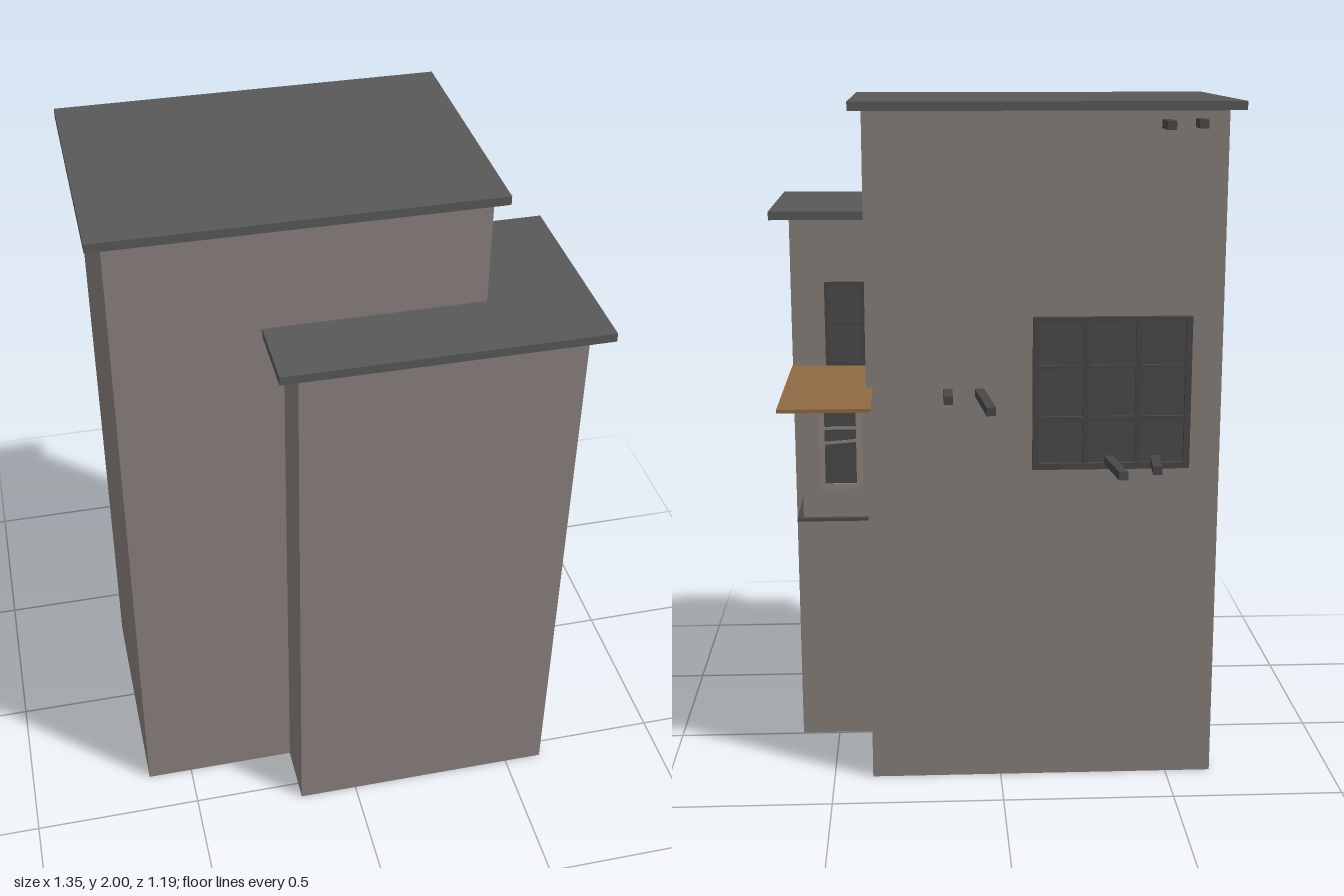
import * as THREE from 'three';

const mat = (color) => new THREE.MeshStandardMaterial({ color, flatShading: true });

export function createModel() {
  const model = new THREE.Group();
  const wall = mat(0x8a817e), slate = mat(0x595959), wood = mat(0x8f6b43);
  const iron = mat(0x484848), glass = mat(0x4b4b4b), trim = mat(0x8f8680);

  // box given by its limits on each axis
  function block(name, m, x0, x1, y0, y1, z0, z1, parent = model) {
    const mesh = new THREE.Mesh(new THREE.BoxGeometry(x1 - x0, y1 - y0, z1 - z0), m);
    mesh.position.set((x0 + x1) / 2, (y0 + y1) / 2, (z0 + z1) / 2);
    mesh.name = name;
    parent.add(mesh);
    return mesh;
  }

  // window centred on its own origin, facing +z, with a pane and a border
  function makeWindow(name, w, h, border, depth, frame) {
    const g = new THREE.Group();
    g.name = name;
    model.add(g);
    block('pane', glass, -w / 2 + border, w / 2 - border, -h / 2 + border, h / 2 - border, -0.002, 0.003, g);
    for (const s of [-1, 1]) {
      const x = s * (w - border) / 2, y = s * (h - border) / 2;
      block('frameSide', frame, x - border / 2, x + border / 2, -h / 2, h / 2, 0, depth, g);
      block('frameRail', frame, -w / 2 + border, w / 2 - border, y - border / 2, y + border / 2, 0, depth, g);
    }
    return g;
  }

  // towers and their overhanging flat roofs
  block('tallTower', wall, -0.635, 0.385, 0, 1.975, -0.325, 0.37);
  block('tallRoof', slate, -0.677, 0.422, 1.975, 2, -0.358, 0.397);
  block('lowTower', wall, -0.175, 0.615, 0, 1.645, 0.005, 0.555);
  block('lowRoof', slate, -0.232, 0.673, 1.645, 1.67, -0.034, 0.595);

  // bay in the inner corner, with its floor and wooden canopy
  block('bay', wall, 0.385, 0.575, 0.803, 1.19, -0.272, 0.005);
  block('bayFloor', iron, 0.385, 0.592, 0.795, 0.803, -0.29, 0.005);
  block('canopy', wood, 0.365, 0.617, 1.19, 1.2, -0.596, 0.005);

  // bay windows with two crossing slats, the lower one slightly askew
  const bayWindows = [
    [0.575, 1.022, -0.08, Math.PI / 2],
    [0.463, 1.022, -0.272, Math.PI],
  ];
  for (const [x, y, z, turn] of bayWindows) {
    const g = makeWindow('bayWindow', 0.125, 0.267, 0.017, 0.009, trim);
    block('slat', trim, -0.046, 0.046, 0.045, 0.053, 0, 0.007, g);
    block('crookedSlat', trim, -0.046, 0.046, 0.004, 0.012, 0, 0.007, g).rotation.z = 0.08;
    g.position.set(x, y, z);
    g.rotation.y = turn;
  }

  // small window above the canopy
  const small = makeWindow('upperWindow', 0.12, 0.255, 0.012, 0.008, iron);
  block('crossbar', iron, -0.05, 0.05, -0.003, 0.006, 0, 0.01, small);
  small.position.set(0.455, 1.328, 0.005);
  small.rotation.y = Math.PI;

  // large three by three window on the back wall
  const big = makeWindow('backWindow', 0.455, 0.445, 0.018, 0.016, iron);
  for (const s of [-1, 1]) {
    const x = s * 0.075;
    block('mullion', iron, x - 0.008, x + 0.008, -0.205, 0.205, 0, 0.014, big);
    block('transom', iron, -0.21, 0.21, x - 0.008, x + 0.008, 0, 0.013, big);
  }
  big.position.set(-0.318, 1.178, -0.325);
  big.rotation.y = Math.PI;

  // beams sticking out of the back wall: root x, y and tip x, y, z
  const beams = [
    [-0.553, 1.94, -0.553, 1.94, -0.388],
    [-0.459, 1.938, -0.459, 1.938, -0.424],
    [-0.447, 0.98, -0.434, 0.985, -0.474],
    [-0.31, 0.98, -0.329, 0.99, -0.545],
    [0.063, 1.183, 0.037, 1.175, -0.54],
    [0.152, 1.182, 0.152, 1.182, -0.424],
  ];
  for (const [x0, y0, x1, y1, z1] of beams) {
    const a = new THREE.Vector3(x0, y0, -0.31), b = new THREE.Vector3(x1, y1, z1);
    const beam = new THREE.Mesh(new THREE.BoxGeometry(0.026, 0.024, a.distanceTo(b)), iron);
    beam.name = 'beam';
    beam.position.copy(a).lerp(b, 0.5);
    beam.lookAt(b);
    model.add(beam);
  }
  return model;
}
